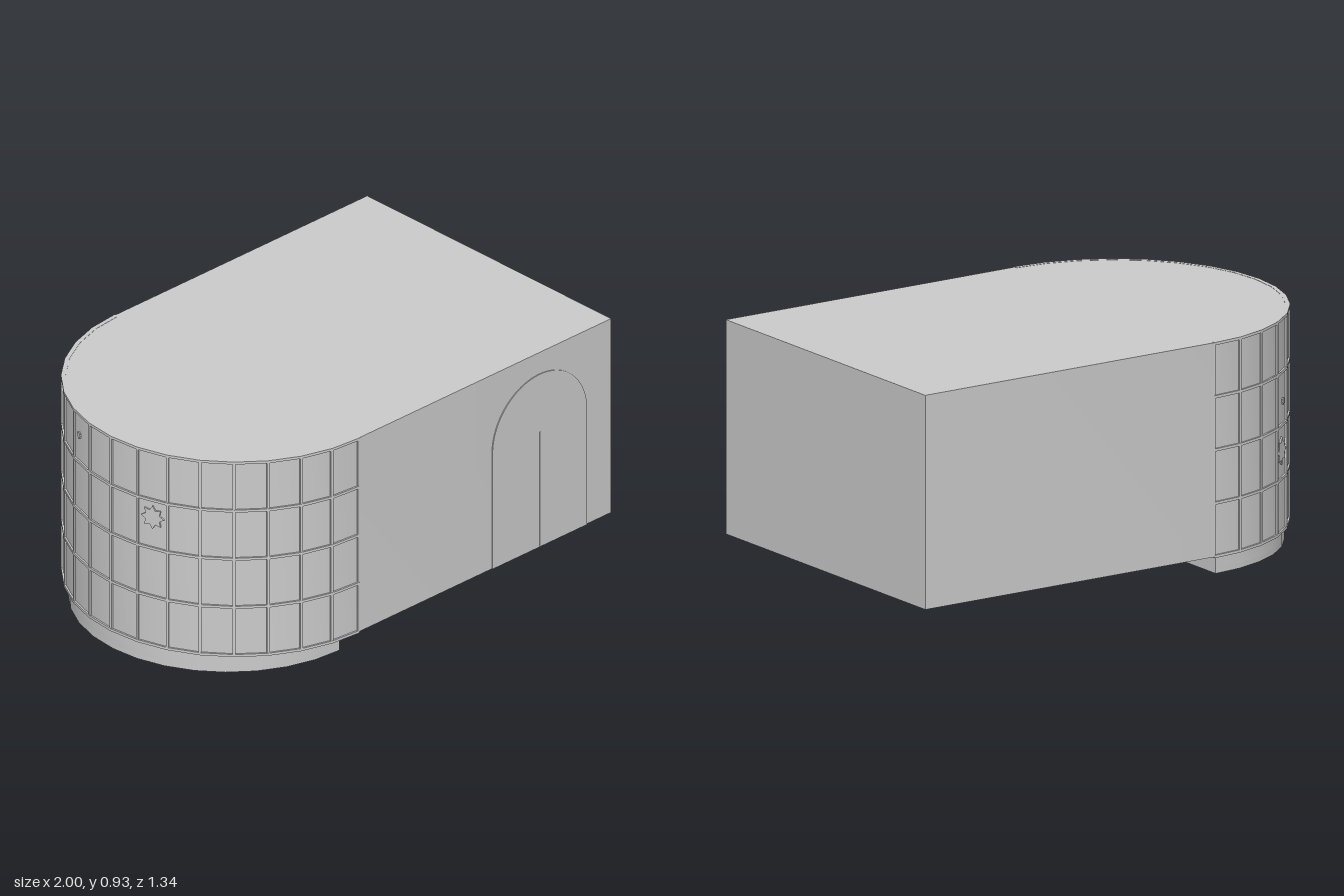
import * as THREE from 'three';
import { toCreasedNormals } from 'three/addons/utils/BufferGeometryUtils.js';

const CX = -0.333;          // centre of the rounded end
const R = 0.661;            // radius of the rounded wall
const FLOOR = 0.085, ROOF = 0.928;
const SEGS = 16;

export function createModel() {
  const root = new THREE.Group();
  const mat = new THREE.MeshStandardMaterial({ color: 0xcccccc });

  const add = (name, geometry, parent = root) => {
    const mesh = new THREE.Mesh(geometry, mat);
    mesh.name = name;
    parent.add(mesh);
    return mesh;
  };
  // Points of a half circle bulging towards -x, in plan
  const arc = (cx, r) => Array.from({ length: SEGS + 1 }, (_, i) => {
    const a = Math.PI / 2 + (i / SEGS) * Math.PI;
    return new THREE.Vector2(cx + r * Math.cos(a), r * Math.sin(a));
  });
  // Extrude a plan outline upwards from y0 to y1
  const slab = (points, y0, y1) => {
    const g = new THREE.ExtrudeGeometry(new THREE.Shape(points), { depth: y1 - y0, bevelEnabled: false });
    g.rotateX(-Math.PI / 2).translate(0, y0, 0);
    return toCreasedNormals(g, 0.4);
  };
  const band = (cx, rOut, rIn, y0, y1) => slab([...arc(cx, rOut), ...arc(cx, rIn).reverse()], y0, y1);
  const box = (name, w, h, d, x, y, z, parent) =>
    add(name, new THREE.BoxGeometry(w, h, d), parent).position.set(x, y, z);

  // Main volume: straight block with a rounded end
  const D = 0.665;
  add('body', slab([
    new THREE.Vector2(1, D), new THREE.Vector2(CX, D),
    ...arc(CX, R),
    new THREE.Vector2(CX, -D), new THREE.Vector2(1, -D),
  ], FLOOR, ROOF));

  // Window grid around the rounded end
  const grid = new THREE.Group();
  grid.name = 'windowGrid';
  root.add(grid);
  for (let i = 0; i <= 4; i++) {
    const y = FLOOR + 0.001 + (i / 4) * (ROOF - FLOOR - 0.006);
    add('horizontalBar', band(CX, 0.668, 0.65, y - 0.005, y + 0.006), grid);
  }
  for (let i = 0; i <= SEGS; i++) {
    const a = -Math.PI / 2 + (i / SEGS) * Math.PI;
    const bar = add('verticalBar', new THREE.BoxGeometry(0.014, ROOF - FLOOR, 0.011), grid);
    bar.position.set(CX - 0.66 * Math.cos(a), (FLOOR + ROOF) / 2, 0.66 * Math.sin(a));
    bar.rotation.y = a;
  }

  // Small star ornaments on the rounded wall: angle, height, radius
  const star = (r) => {
    const pts = Array.from({ length: 16 }, (_, i) => {
      const a = (i / 16) * Math.PI * 2, q = i % 2 ? r * 0.65 : r;
      return new THREE.Vector2(q * Math.cos(a), q * Math.sin(a));
    });
    return new THREE.ExtrudeGeometry(new THREE.Shape(pts), { depth: 0.008, bevelEnabled: false });
  };
  for (const [deg, y, r] of [[-51, 0.405, 0.055], [-49, 0.595, 0.014], [-19, 0.83, 0.014], [17, 0.64, 0.05]]) {
    const a = THREE.MathUtils.degToRad(deg);
    const s = add('starOrnament', star(r));
    s.position.set(CX - 0.656 * Math.cos(a), y, 0.656 * Math.sin(a));
    s.rotation.y = -Math.PI / 2 + a;
  }

  // Arched door on the front wall, with its centre seam
  const arch = new THREE.Shape();
  arch.moveTo(0.37, FLOOR);
  arch.lineTo(0.87, FLOOR);
  arch.lineTo(0.87, 0.585);
  arch.absarc(0.62, 0.585, 0.25, 0, Math.PI, false);
  arch.lineTo(0.37, FLOOR);
  const door = new THREE.ExtrudeGeometry(arch, { depth: 0.006, bevelEnabled: false, curveSegments: 24 });
  add('archedDoor', toCreasedNormals(door, 0.4)).position.z = 0.663;
  box('doorSeam', 0.003, 0.5, 0.003, 0.62, 0.335, 0.669);

  // Half-round plinth: floor plate and a raised curved wall, open along the chord
  const PX = -0.38, PR = 0.608;
  add('plinthPlate', slab(arc(PX, PR), 0, 0.02));
  add('plinthWall', band(PX, PR, 0.46, 0.02, FLOOR));

  // Details under the floor
  const hub = add('undersideDisc', new THREE.CylinderGeometry(0.1, 0.1, 0.016, 32));
  hub.position.set(-0.35, 0.078, 0.025);
  const under = new THREE.Group();
  under.name = 'undersidePanels';
  root.add(under);
  box('frontPanel', 0.51, 0.004, 0.17, -0.025, 0.084, 0.575, under);
  box('backPanel', 0.11, 0.004, 0.53, 0.095, 0.084, -0.355, under);
  box('cornerStrip', 0.006, 0.004, 0.09, 0.7, 0.084, -0.575, under);

  return root;
}
